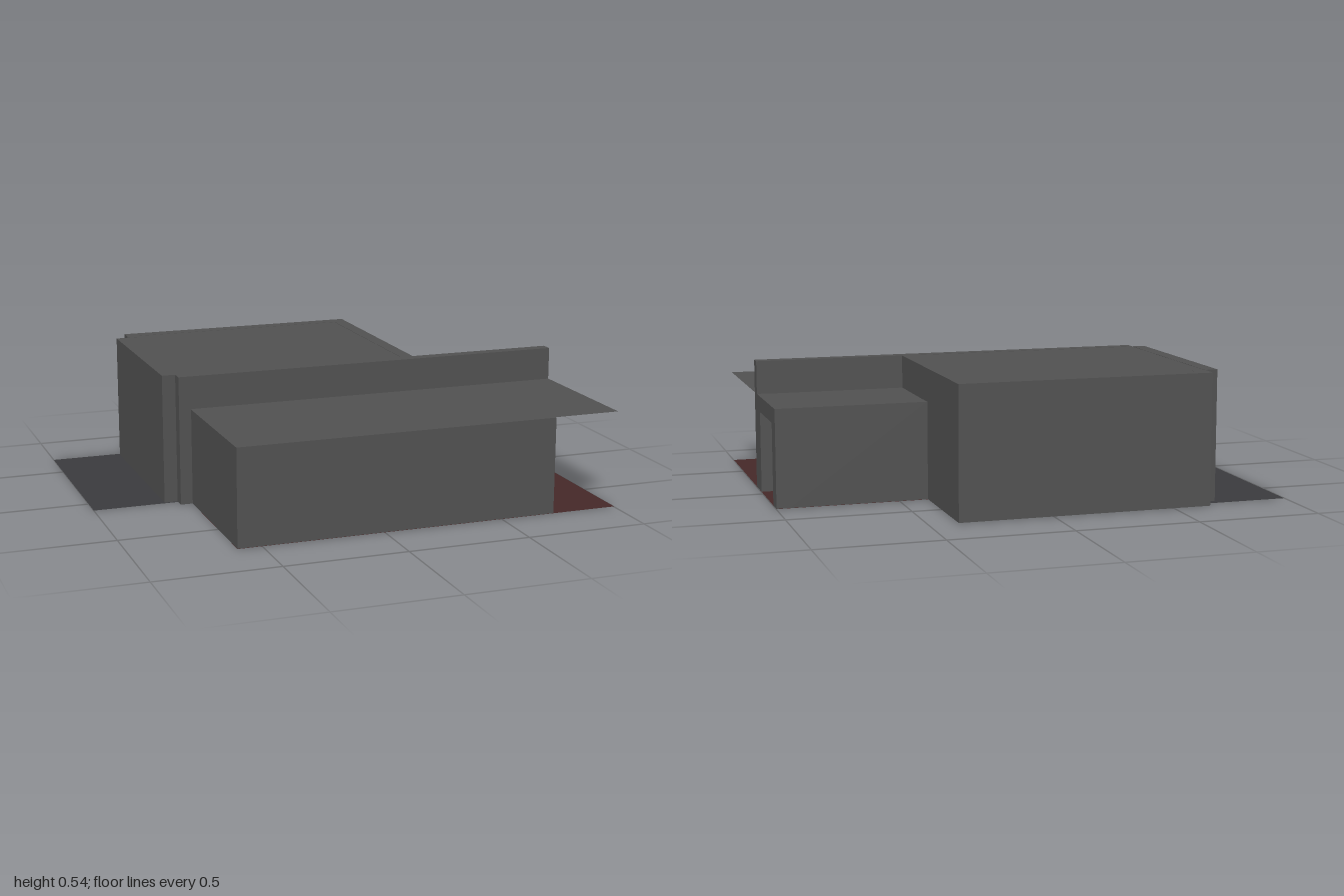
import * as THREE from 'three';

const wallMat = new THREE.MeshStandardMaterial({ color: 0x505050, side: THREE.DoubleSide });
const redMat = new THREE.MeshStandardMaterial({ color: 0x452828, side: THREE.DoubleSide });
const pavingMat = new THREE.MeshStandardMaterial({ color: 0x3a3a3d, side: THREE.DoubleSide });
const woodMat = new THREE.MeshStandardMaterial({ color: 0x4a2e12 });

const BASE = 0.003; // walls stand just above the ground sheets
const LOW = 0.4;    // low roof height
const HIGH = 0.535; // tall roof height
const T = 0.055;    // wall thickness

export function createModel() {
  const model = new THREE.Group();

  // Box given by its extents
  function box(name, x0, x1, y0, y1, z0, z1, mat = wallMat) {
    const mesh = new THREE.Mesh(new THREE.BoxGeometry(x1 - x0, y1 - y0, z1 - z0), mat);
    mesh.position.set((x0 + x1) / 2, (y0 + y1) / 2, (z0 + z1) / 2);
    mesh.name = name;
    model.add(mesh);
  }

  // Flat horizontal sheet
  function sheet(name, x0, x1, z0, z1, y, mat = wallMat) {
    const geo = new THREE.PlaneGeometry(x1 - x0, z1 - z0).rotateX(-Math.PI / 2);
    const mesh = new THREE.Mesh(geo, mat);
    mesh.position.set((x0 + x1) / 2, y, (z0 + z1) / 2);
    mesh.name = name;
    model.add(mesh);
  }

  // Ground sheets
  sheet('hallFloor', -0.65, 0.335, -0.705, 0.095, 0, pavingMat);
  sheet('sidePaving', -1, -0.65, -0.705, 0.095, 0, pavingMat);
  sheet('redFloor', -0.6, 1, -0.31, 0.76, 0.002, redMat);

  // Tall hall: outer walls with a step at the back corner
  box('hallBackWall', -0.65, 0.385, BASE, HIGH, -0.76, -0.705);
  box('hallBackCorner', -0.65, -0.65 + T, BASE, HIGH, -0.705, -0.68);
  box('hallSideWall', -0.705, -0.65, BASE, HIGH, -0.68, 0.095);
  box('hallInnerSideWall', 0.385 - T, 0.385, BASE, HIGH, -0.705, 0.095);
  sheet('hallRoof', -0.65, 0.335, -0.705, 0.095, HIGH - 0.001);

  // Long tall wall between the front and rear parts
  box('spineWall', -0.65, 1, BASE, HIGH, 0.095, 0.145);

  // Front wing with a stepped porch under the roof
  const wing = new THREE.Shape([
    [-0.6, 0.145], [0.93, 0.145], [0.93, 0.36], [0.725, 0.36], [0.725, 0.76], [-0.6, 0.76],
  ].map(([x, z]) => new THREE.Vector2(x, -z)));
  const wingGeo = new THREE.ExtrudeGeometry(wing, { depth: LOW - 0.002 - BASE, bevelEnabled: false });
  wingGeo.rotateX(-Math.PI / 2);
  const wingMesh = new THREE.Mesh(wingGeo, wallMat);
  wingMesh.position.y = BASE;
  wingMesh.name = 'frontWing';
  model.add(wingMesh);
  sheet('frontRoof', -0.6, 1, 0.145, 0.76, LOW);

  // Rear wing with a doorway in its end wall
  box('rearWingBackWall', 0.385, 1 - T, BASE, LOW, -0.31, -0.31 + T);
  box('doorwayBackPier', 1 - T, 1, BASE, LOW, -0.31, -0.24);
  box('doorwayFrontPier', 1 - T, 1, BASE, LOW, 0.03, 0.095);
  box('doorwayLintel', 1 - T, 1, 0.335, LOW, -0.24, 0.03);
  box('partition', 0.65, 0.7, BASE, LOW - 0.002, -0.04, 0.095);
  sheet('rearWingRoof', 0.385, 1 - T, -0.31 + T, 0.095, LOW - 0.001);

  // Small wooden bench inside the doorway
  box('benchSeat', 0.5, 0.85, 0.085, 0.11, -0.25, -0.2, woodMat);
  for (const x of [0.51, 0.825]) box('benchLeg', x, x + 0.015, BASE, 0.085, -0.24, -0.225, woodMat);

  return model;
}
